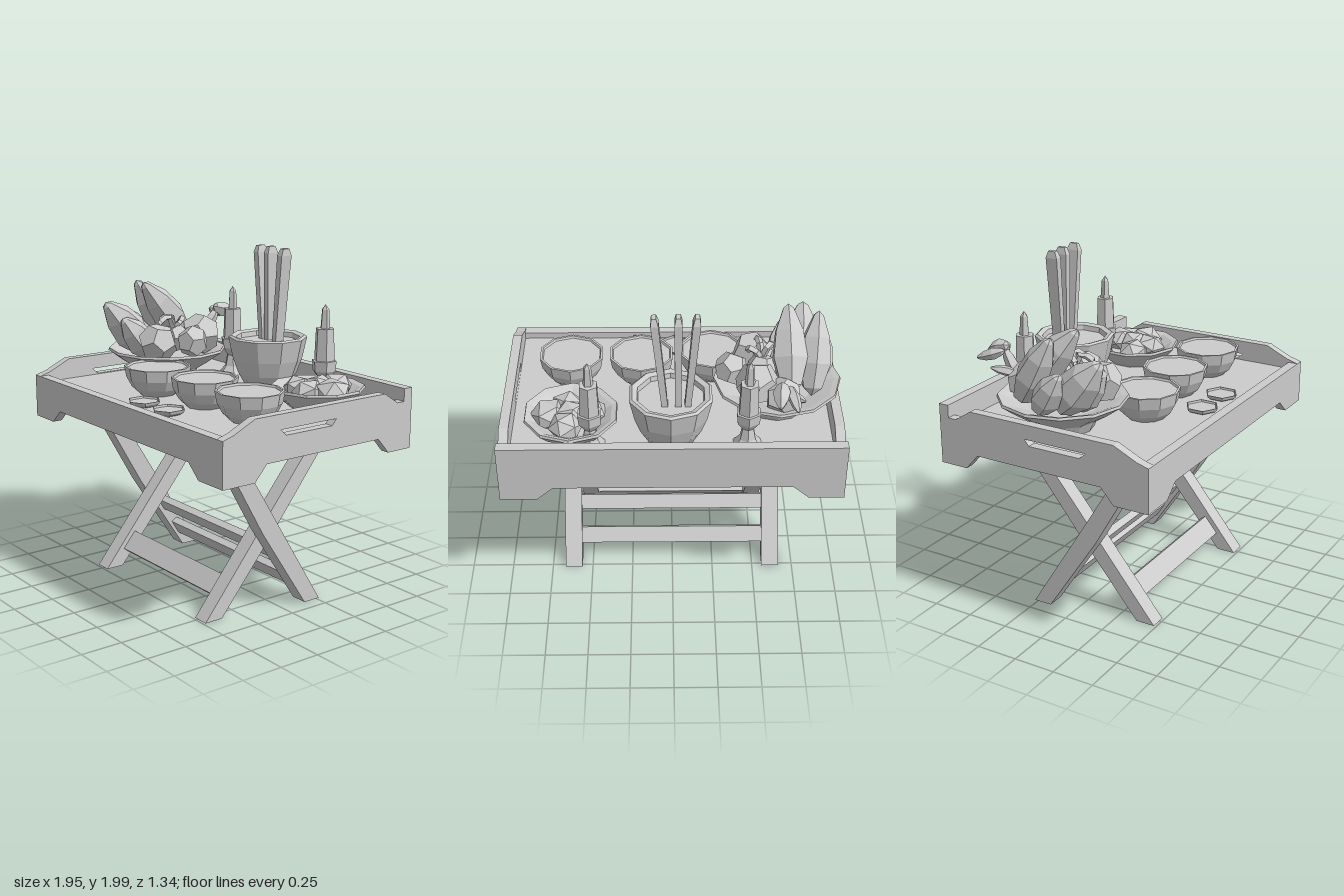
import * as THREE from 'three';

const clay = new THREE.MeshStandardMaterial({ color: 0xcccccc, flatShading: true, side: THREE.DoubleSide });
clay.name = 'plain light grey';

const V = (x, y, z) => new THREE.Vector3(x, y, z);
const UP = V(0, 1, 0);
const FLOOR = 1.15;

function add(parent, name, geometry, x = 0, y = 0, z = 0) {
  const mesh = new THREE.Mesh(geometry, clay);
  mesh.name = name;
  mesh.position.set(x, y, z);
  parent.add(mesh);
  return mesh;
}

function outline(points) {
  return new THREE.Shape(points.map(([a, b]) => new THREE.Vector2(a, b)));
}

// panel drawn in x/y, extruded towards +z
const panelXY = (shape, depth) => new THREE.ExtrudeGeometry(shape, { depth, bevelEnabled: false });
// panel drawn in z/y, extruded towards -x
const panelZY = (shape, depth) => panelXY(shape, depth).rotateY(-Math.PI / 2);

function lathe(points, sides) {
  return new THREE.LatheGeometry(points.map(([r, y]) => new THREE.Vector2(r, y)), sides);
}

// faceted pod with a pointed tip, stretched from its base to its tip
function pod(parent, name, base, tip, radius, sides = 6) {
  const length = base.distanceTo(tip);
  const profile = [[0, 0], [0.6, 0.1], [1, 0.4], [0.8, 0.7], [0.3, 0.95], [0, 1]];
  const mesh = add(parent, name, lathe(profile.map(([r, t]) => [r * radius, t * length]), sides));
  mesh.position.copy(base);
  mesh.quaternion.setFromUnitVectors(UP, tip.clone().sub(base).normalize());
  return mesh;
}

function makeTray() {
  const tray = new THREE.Group();
  tray.name = 'tray';
  add(tray, 'trayFloor', new THREE.BoxGeometry(1.84, 0.06, 1.26), 0.005, FLOOR - 0.03, 0);
  const longPanel = (top) => outline([
    [-0.96, 0.93], [-0.76, 0.93], [-0.67, 1.01], [0.67, 1.01],
    [0.76, 0.93], [0.97, 0.93], [0.97, top], [-0.96, top]]);
  add(tray, 'frontPanel', panelXY(longPanel(1.19), 0.06), 0, 0, 0.61);
  add(tray, 'backPanel', panelXY(longPanel(1.285), 0.06), 0, 0, -0.67);
  // side panels with a hand slot, sloping down at both ends
  const side = outline([
    [0.67, 0.93], [0.67, 1.19], [0.6, 1.21], [0.46, 1.275], [-0.46, 1.275], [-0.56, 1.21], [-0.67, 1.21],
    [-0.67, 0.93], [-0.5, 0.93], [-0.42, 1.02], [0.38, 1.02], [0.46, 0.93]]);
  const slot = new THREE.Path([[0.29, 1.19], [0.25, 1.155], [-0.07, 1.155], [-0.1, 1.19]]
    .map(([a, b]) => new THREE.Vector2(a, b)));
  side.holes.push(slot);
  add(tray, 'leftPanel', panelZY(side, 0.055), 0.97);
  add(tray, 'rightPanel', panelZY(side, 0.055), -0.905);
  return tray;
}

function makeStand() {
  const stand = new THREE.Group();
  stand.name = 'foldingStand';
  // crossed legs, slightly thicker at the middle
  const outer = outline([[-0.27, 0.01], [-0.16, 0.01], [0.16, 0.5], [0.5, 1.1], [0.395, 1.1], [0.03, 0.5]]);
  const inner = outline([[0.37, 0.01], [0.485, 0.01], [0.085, 0.5], [-0.41, 1.1], [-0.52, 1.1], [-0.04, 0.5]]);
  for (const s of [1, -1]) {
    add(stand, 'outerLeg', panelZY(outer, 0.105), s > 0 ? 0.67 : -0.56);
    add(stand, 'innerLeg', panelZY(inner, 0.1), s > 0 ? 0.57 : -0.465);
  }
  // stretchers lean with the legs that carry them
  const bars = [
    ['innerStretcher', 0.96, 0.13, 0.155, 0.3, -0.69],
    ['outerLowerStretcher', 1.14, 0.1, 0.15, -0.12, 0.55],
    ['outerUpperStretcher', 1.14, 0.09, 0.33, -0.01, 0.55]];
  for (const [name, width, height, y, z, lean] of bars) {
    add(stand, name, new THREE.BoxGeometry(width, height, 0.045), 0, y, z).rotation.x = lean;
  }
  return stand;
}

// filled bowl: rounded wall, narrow lip, then a surface just under the rim
function makeBowl(parent, name, x, z, r, top, sides) {
  const h = top - FLOOR;
  add(parent, name, lathe([[0, 0], [r * 0.55, 0], [r * 0.78, h * 0.25], [r * 0.94, h * 0.6],
    [r, h], [r * 0.93, h], [r * 0.9, h - 0.012], [0, h - 0.012]], sides), x, FLOOR, z);
}

function makeCandle(parent, x, z) {
  const candle = new THREE.Group();
  candle.name = 'candle';
  candle.position.set(x, 0, z);
  add(candle, 'candleHolder', lathe([[0, FLOOR], [0.09, FLOOR], [0.05, 1.2], [0.035, 1.27],
    [0.07, 1.32], [0.075, 1.38], [0, 1.39]], 6));
  add(candle, 'candleBody', new THREE.CylinderGeometry(0.055, 0.062, 0.19, 6), 0, 1.475, 0);
  add(candle, 'flame', lathe([[0, 1.56], [0.03, 1.57], [0.022, 1.68], [0, 1.71]], 5));
  parent.add(candle);
}

function makeIncensePot() {
  const pot = new THREE.Group();
  pot.name = 'incensePot';
  pot.position.set(0.01, 0, -0.4);
  add(pot, 'potBody', lathe([[0, FLOOR], [0.13, FLOOR], [0.18, 1.24], [0.212, 1.33],
    [0.24, 1.46], [0.225, 1.47], [0.195, 1.46], [0.19, 1.43], [0, 1.43]], 10));
  // splayed sticks with narrowed tips
  for (const [x0, x1] of [[-0.09, -0.14], [-0.04, -0.04], [0.03, 0.09]]) {
    const stick = add(pot, 'stick', lathe([[0, 0], [0.024, 0], [0.03, 0.57], [0.018, 0.61], [0, 0.61]], 4)
      .rotateY(Math.PI / 4).scale(1, 1, 1.8), x0, 1.39, -0.05);
    stick.rotation.z = -Math.atan2(x1 - x0, 0.6);
  }
  return pot;
}

function makeFruitPlate() {
  const plate = new THREE.Group();
  plate.name = 'fruitPlate';
  add(plate, 'plateDish', lathe([[0, 0], [0.17, 0], [0.2, 0.06], [0.28, 0.11], [0.37, 0.175],
    [0.365, 0.19], [0.33, 0.18], [0.2, 0.13], [0, 0.12]], 12), -0.605, FLOOR, -0.08);
  // long pointed fruit
  const long = [
    [V(-0.67, 1.36, -0.28), V(-0.66, 1.75, 0.06), 0.11],
    [V(-0.79, 1.32, -0.24), V(-0.83, 1.74, 0.0), 0.1],
    [V(-0.74, 1.3, -0.02), V(-0.77, 1.63, 0.27), 0.12],
    [V(-0.64, 1.28, 0.0), V(-0.65, 1.54, 0.22), 0.1],
    [V(-0.82, 1.3, -0.1), V(-0.88, 1.56, 0.08), 0.09]];
  for (const [base, tip, r] of long) pod(plate, 'longFruit', base, tip, r);
  // round fruit
  const round = [[-0.48, 1.42, -0.25, 0.13], [-0.34, 1.41, -0.09, 0.1], [-0.47, 1.4, 0.08, 0.125],
    [-0.62, 1.38, -0.32, 0.11], [-0.51, 1.41, -0.09, 0.09]];
  round.forEach(([x, y, z, r], i) => {
    add(plate, 'roundFruit', new THREE.DodecahedronGeometry(r, 0), x, y, z).rotation.set(i, i * 0.7, 0);
  });
  // curled stems on top
  const stems = [[-0.55, -0.07, -0.58, -0.01], [-0.46, -0.1, -0.43, -0.06], [-0.5, -0.02, -0.49, 0.05]];
  for (const [x1, z1, x2, z2] of stems) {
    const curve = new THREE.CatmullRomCurve3([V(-0.51, 1.46, -0.07), V(x1, 1.55, z1), V(x2, 1.52, z2)]);
    add(plate, 'stem', new THREE.TubeGeometry(curve, 4, 0.02, 4));
  }
  // leaves arching over the back edge
  const leaves = [
    [V(-0.62, 1.38, -0.36), V(-0.6, 1.55, -0.48), 0.04],
    [V(-0.6, 1.56, -0.44), V(-0.58, 1.5, -0.6), 0.05],
    [V(-0.64, 1.54, -0.44), V(-0.68, 1.48, -0.61), 0.035],
    [V(-0.64, 1.42, -0.36), V(-0.73, 1.46, -0.48), 0.03]];
  for (const [base, tip, r] of leaves) pod(plate, 'leaf', base, tip, r, 5);
  return plate;
}

function makeSnackPlate() {
  const plate = new THREE.Group();
  plate.name = 'snackPlate';
  add(plate, 'snackDish', lathe([[0, 0], [0.16, 0], [0.21, 0.04], [0.275, 0.11], [0.27, 0.125],
    [0.24, 0.115], [0.16, 0.06], [0, 0.06]], 10), 0.575, FLOOR, -0.31);
  const pieces = [[0.47, -0.26, 0.1], [0.6, -0.22, 0.1], [0.7, -0.31, 0.11], [0.6, -0.43, 0.1], [0.58, -0.32, 0.09]];
  pieces.forEach(([x, z, r], i) => {
    add(plate, 'snack', new THREE.IcosahedronGeometry(r, 0).scale(1, 0.8, 1), x, 1.24 + 0.006 * i, z)
      .rotation.y = i * 1.3;
  });
  return plate;
}

export function createModel() {
  const model = new THREE.Group();
  model.name = 'offeringTable';
  model.add(makeTray(), makeStand(), makeIncensePot(), makeFruitPlate(), makeSnackPlate());
  makeBowl(model, 'bowl', -0.24, 0.24, 0.2, 1.32, 10);
  makeBowl(model, 'bowl', 0.18, 0.2, 0.195, 1.32, 10);
  makeBowl(model, 'bowl', 0.595, 0.2, 0.195, 1.32, 10);
  makeBowl(model, 'cup', -0.02, 0.485, 0.1, 1.187, 6);
  makeBowl(model, 'cup', 0.225, 0.485, 0.1, 1.187, 6);
  makeCandle(model, -0.42, -0.46);
  makeCandle(model, 0.46, -0.46);
  return model;
}
